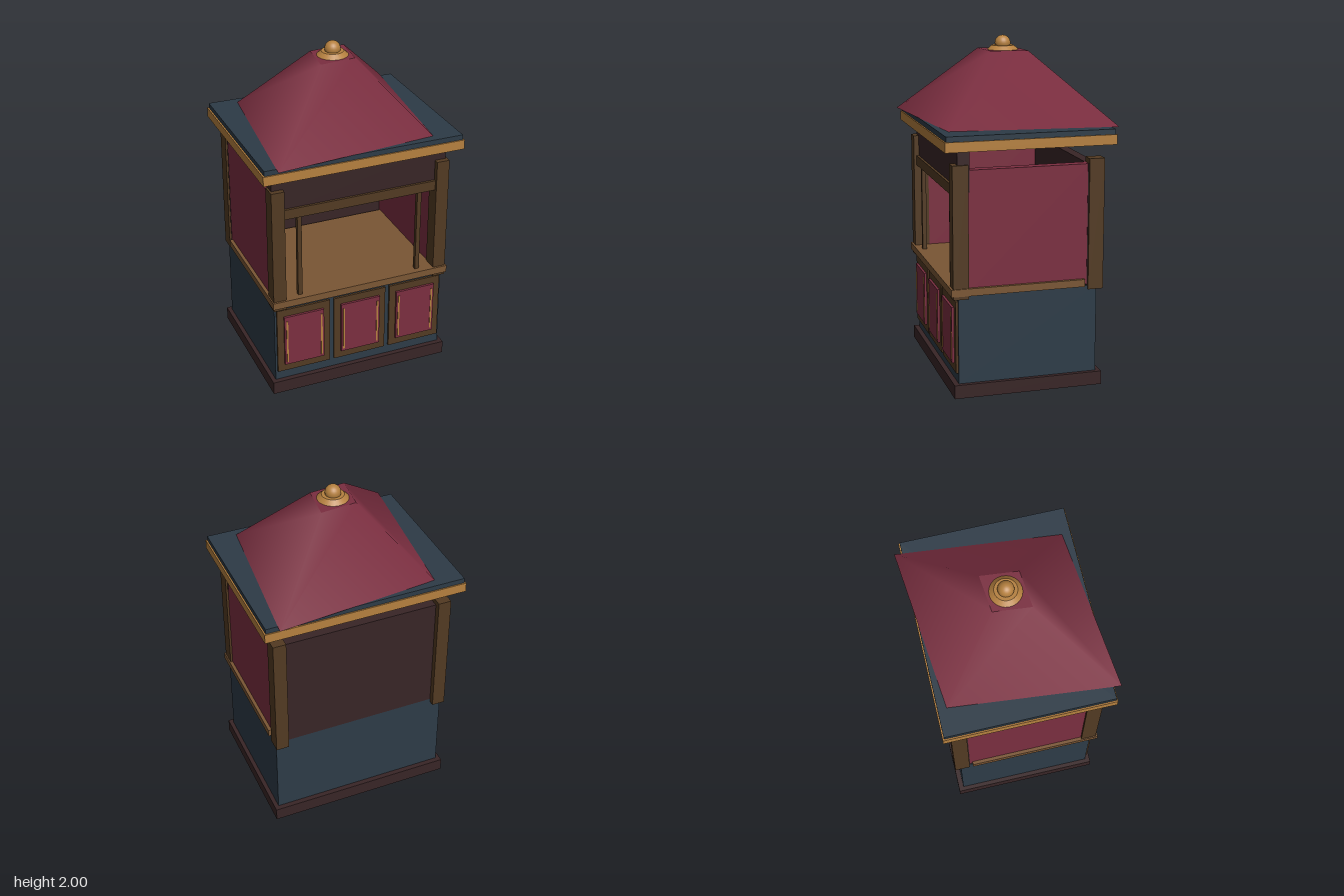
import * as THREE from 'three';

const mat = (name, color) => {
  const m = new THREE.MeshStandardMaterial({ color });
  m.name = name;
  return m;
};

export function createModel() {
  const crimson = mat('crimson', 0x7b2e40);
  const navy = mat('navy', 0x2d3b47);
  const darkWood = mat('dark wood', 0x382526);
  const wood = mat('brown wood', 0x523a22);
  const counterWood = mat('counter wood', 0x7a5634);
  const brass = mat('brass', 0xb5803f);

  const model = new THREE.Group();
  model.name = 'kiosk';

  const add = (name, geometry, material, parent = model) => {
    const mesh = new THREE.Mesh(geometry, material);
    mesh.name = name;
    parent.add(mesh);
    return mesh;
  };
  // Box given by its limits on each axis
  const box = (name, material, [x0, x1], [y0, y1], [z0, z1], parent) => {
    const mesh = add(name, new THREE.BoxGeometry(x1 - x0, y1 - y0, z1 - z0), material, parent);
    mesh.position.set((x0 + x1) / 2, (y0 + y1) / 2, (z0 + z1) / 2);
    return mesh;
  };

  // Base and counter
  box('plinth', darkWood, [-0.56, 0.56], [0, 0.08], [-0.44, 0.44]);
  box('lowerBody', navy, [-0.535, 0.535], [0.08, 0.6], [-0.41, 0.41]);
  box('counter', counterWood, [-0.553, 0.553], [0.6, 0.643], [-0.335, 0.453]);

  // Framed front panels with upright brass inlays
  for (const x of [-0.358, 0, 0.358]) {
    const panel = new THREE.Group();
    panel.name = 'frontPanel';
    panel.position.x = x;
    model.add(panel);
    box('panelFrame', wood, [-0.165, 0.165], [0.14, 0.565], [0.405, 0.423], panel);
    box('panelField', crimson, [-0.124, 0.124], [0.19, 0.52], [0.42, 0.437], panel);
    for (const s of [-1, 1]) {
      box('panelInlay', brass, [s * 0.108 - 0.005, s * 0.108 + 0.005], [0.208, 0.492], [0.434, 0.44], panel);
    }
  }

  // Walls, corner posts and slim window posts
  box('backWall', darkWood, [-0.535, 0.535], [0.6, 1.315], [-0.41, -0.35]);
  box('frontValance', darkWood, [-0.535, 0.535], [1.19, 1.43], [0.34, 0.41]);
  box('windowRail', wood, [-0.47, 0.47], [1.16, 1.22], [0.375, 0.425]);
  for (const s of [-1, 1]) {
    const span = (a, b) => (s > 0 ? [a, b] : [-b, -a]);
    box('sideWall', crimson, span(0.473, 0.533), [0.61, 1.315], [-0.36, 0.36]);
    box('windowPost', wood, span(0.36, 0.386), [0.643, 1.165], [0.39, 0.416]);
    box('frontPost', wood, span(0.468, 0.546), [0.58, 1.345], [0.35, 0.441]);
    box('backPost', wood, span(0.468, 0.546), [0.58, 1.345], [-0.446, -0.356]);
  }

  // Small ribbed lamp inside
  const lampProfile = [[0, 0.98], [0.055, 0.98], [0.055, 1], [0.045, 1.005], [0.042, 1.03], [0.05, 1.05], [0.05, 1.06], [0, 1.06]];
  add('lamp', new THREE.LatheGeometry(lampProfile.map(([r, y]) => new THREE.Vector2(r, y)), 20), brass);

  // Eaves
  box('eavesTrim', brass, [-0.607, 0.607], [1.43, 1.487], [-0.495, 0.495]);
  box('eavesBoard', navy, [-0.598, 0.598], [1.487, 1.517], [-0.487, 0.487]);

  // Four-sided roof, stretched along one diagonal
  const roof = add('roof', new THREE.CylinderGeometry(0.225, 1, 0.4, 4), crimson);
  roof.scale.set(0.616, 1, 0.753);
  roof.rotation.y = -Math.PI / 4;
  roof.position.y = 1.717;

  // Finial
  const collar = add('finialCollar', new THREE.CylinderGeometry(0.065, 0.092, 0.025, 24), brass);
  collar.position.y = 1.929;
  const ball = add('finialBall', new THREE.SphereGeometry(0.046, 24, 16), brass);
  ball.position.y = 1.954;

  return model;
}
